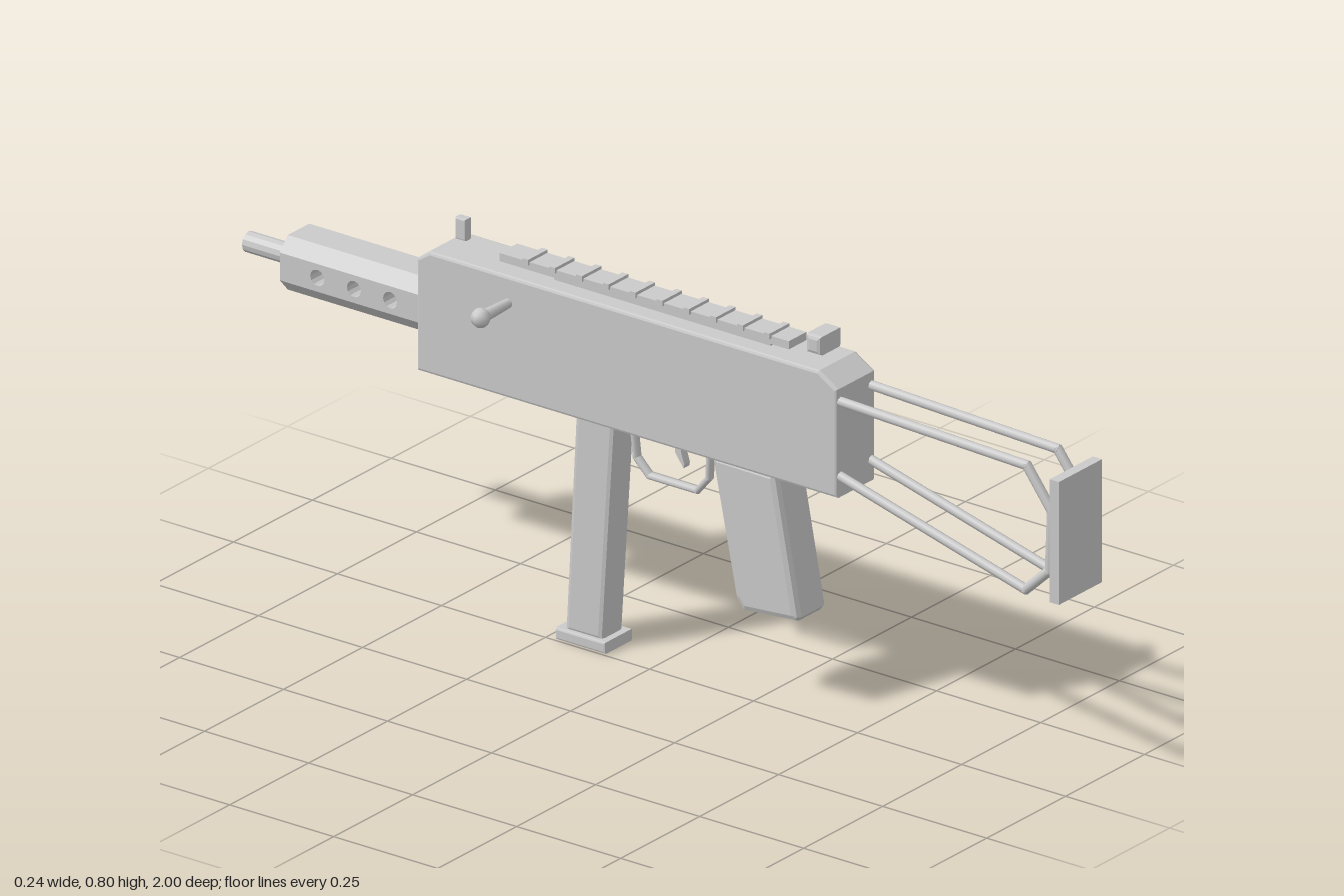
import * as THREE from 'three';

const CX = 0.048; // the main axis sits slightly off the frame's centre

export function createModel() {
  const group = new THREE.Group();
  const grey = new THREE.MeshStandardMaterial({ color: 0xcacaca });
  grey.name = 'plain grey';

  const add = (name, geometry, x = 0, y = 0, z = 0) => {
    const mesh = new THREE.Mesh(geometry, grey);
    mesh.name = name;
    mesh.position.set(x, y, z);
    group.add(mesh);
    return mesh;
  };
  const box = (name, w, h, d, x, y, z) => add(name, new THREE.BoxGeometry(w, h, d), x, y, z);
  const outline = (points) => new THREE.Shape(points.map(([a, b]) => new THREE.Vector2(a, b)));

  // Side profile given as (z, y), extruded across x with chamfered edges
  const sideExtrude = (name, shape, width, bevel, x = CX) => {
    const geometry = new THREE.ExtrudeGeometry(shape, {
      depth: width - 2 * bevel, bevelEnabled: bevel > 0, bevelSize: bevel,
      bevelThickness: bevel, bevelOffset: -bevel, bevelSegments: 2, curveSegments: 6,
    });
    geometry.translate(0, 0, -(width - 2 * bevel) / 2);
    geometry.rotateY(-Math.PI / 2);
    return add(name, geometry, x);
  };

  // Chain of straight rods through (z, y) points
  const rods = (name, points, x, radius, widen = 1) => {
    for (let i = 0; i < points.length - 1; i++) {
      const a = new THREE.Vector3(0, points[i][1], points[i][0]);
      const b = new THREE.Vector3(0, points[i + 1][1], points[i + 1][0]);
      const dir = b.clone().sub(a);
      const geometry = new THREE.CylinderGeometry(radius, radius, dir.length() + radius * 0.8, 8);
      const mid = a.clone().add(b).multiplyScalar(0.5);
      geometry.applyQuaternion(new THREE.Quaternion().setFromUnitVectors(
        new THREE.Vector3(0, 1, 0), dir.normalize()));
      geometry.scale(widen, 1, 1);
      add(name, geometry, x, mid.y, mid.z);
    }
  };

  // Body with a recessed port on its left side
  const bevel = 0.006;
  const body = outline([[0.46, 0.485], [0.46, 0.712], [0.415, 0.74], [-0.52, 0.74],
    [-0.55, 0.72], [-0.55, 0.485]]);
  const [z0, z1, y0, y1] = [-0.235, -0.06, 0.61, 0.675];
  body.holes.push(new THREE.Path([[z0 + bevel, y0 + bevel], [z1 - bevel, y0 + bevel],
    [z1 - bevel, y1 - bevel], [z0 + bevel, y1 - bevel]].map(([a, b]) => new THREE.Vector2(a, b))));
  sideExtrude('body', body, 0.122, bevel);
  box('portFloor', 0.094, y1 - y0, z1 - z0, CX - 0.014, (y0 + y1) / 2, (z0 + z1) / 2);

  // Octagonal shroud: pierced middle slab with sloped top and bottom
  const slab = outline([[-0.88, 0.585], [-0.54, 0.585], [-0.54, 0.643], [-0.88, 0.643]]);
  for (const z of [-0.615, -0.702, -0.79]) {
    slab.holes.push(new THREE.Path().absarc(z, 0.614, 0.017, 0, Math.PI * 2, true));
  }
  sideExtrude('shroudMiddle', slab, 0.118, 0);
  for (const s of [1, -1]) {
    const points = [[-0.059, 0.029], [0.059, 0.029], [0.034, 0.057], [-0.034, 0.057]];
    const cap = new THREE.ExtrudeGeometry(outline(points.map(([x, y]) => [x, s * y])),
      { depth: 0.34, bevelEnabled: false });
    add('shroudCap', cap, CX, 0.614, -0.88);
  }

  // Hollow muzzle
  const muzzle = new THREE.LatheGeometry([[0, 0], [0.021, 0], [0.021, 0.12], [0.011, 0.12],
    [0.011, 0.08], [0, 0.08]].map(([r, h]) => new THREE.Vector2(r, h)), 12);
  muzzle.rotateX(-Math.PI / 2);
  add('muzzle', muzzle.toNonIndexed(), CX, 0.614, -0.88).geometry.computeVertexNormals();

  // Top rail and sights
  box('railFoot', 0.04, 0.012, 0.52, CX, 0.743, 0.01);
  box('rail', 0.056, 0.017, 0.695, CX, 0.757, -0.028);
  for (let i = 0; i < 10; i++) {
    box('railRidge', 0.062, 0.012, 0.014, CX - 0.002, 0.766, -0.31 + i * 0.0645);
  }
  sideExtrude('rearSight', outline([[0.365, 0.757], [0.4, 0.757], [0.4, 0.796], [0.365, 0.796]]),
    0.07, 0.008);
  sideExtrude('frontSight', outline([[-0.497, 0.757], [-0.472, 0.757], [-0.472, 0.802],
    [-0.497, 0.802]]), 0.02, 0.003);

  // Handle, magazine and its base
  sideExtrude('grip', outline([[0.3, 0.49], [0.355, 0.2], [0.348, 0.191], [0.222, 0.18],
    [0.203, 0.205], [0.145, 0.49]]), 0.095, 0.014);
  sideExtrude('magazine', outline([[-0.095, 0.49], [-0.125, 0.02], [-0.215, 0.02],
    [-0.19, 0.49]]), 0.068, 0.01);
  sideExtrude('magazineBase', outline([[-0.11, 0.002], [-0.11, 0.026], [-0.23, 0.026],
    [-0.23, 0.002]]), 0.088, 0.004);

  // Trigger and guard
  rods('triggerGuard', [[0.112, 0.49], [0.108, 0.415], [0.08, 0.381], [-0.035, 0.381],
    [-0.066, 0.412], [-0.075, 0.49]], CX, 0.007, 1.5);
  sideExtrude('trigger', outline([[0.028, 0.49], [0.032, 0.45], [0.052, 0.422], [0.054, 0.43],
    [0.046, 0.455], [0.045, 0.49]]), 0.018, 0);

  // Side handle with a ball end
  const rod = new THREE.CylinderGeometry(0.009, 0.013, 0.1, 10);
  rod.rotateZ(-Math.PI / 2);
  add('sideHandle', rod, -0.04, 0.684, -0.33);
  add('sideHandleBall', new THREE.SphereGeometry(0.02, 8, 6), -0.1, 0.684, -0.33);

  // Wire stock with an end plate
  for (const s of [-1, 1]) {
    rods('stockFrame', [[0.44, 0.685], [0.908, 0.67], [0.968, 0.59], [0.963, 0.465],
      [0.905, 0.41], [0.44, 0.533]], CX + s * 0.049, 0.01);
  }
  box('stockPlate', 0.137, 0.257, 0.022, CX - 0.001, 0.538, 0.989);

  return group;
}
